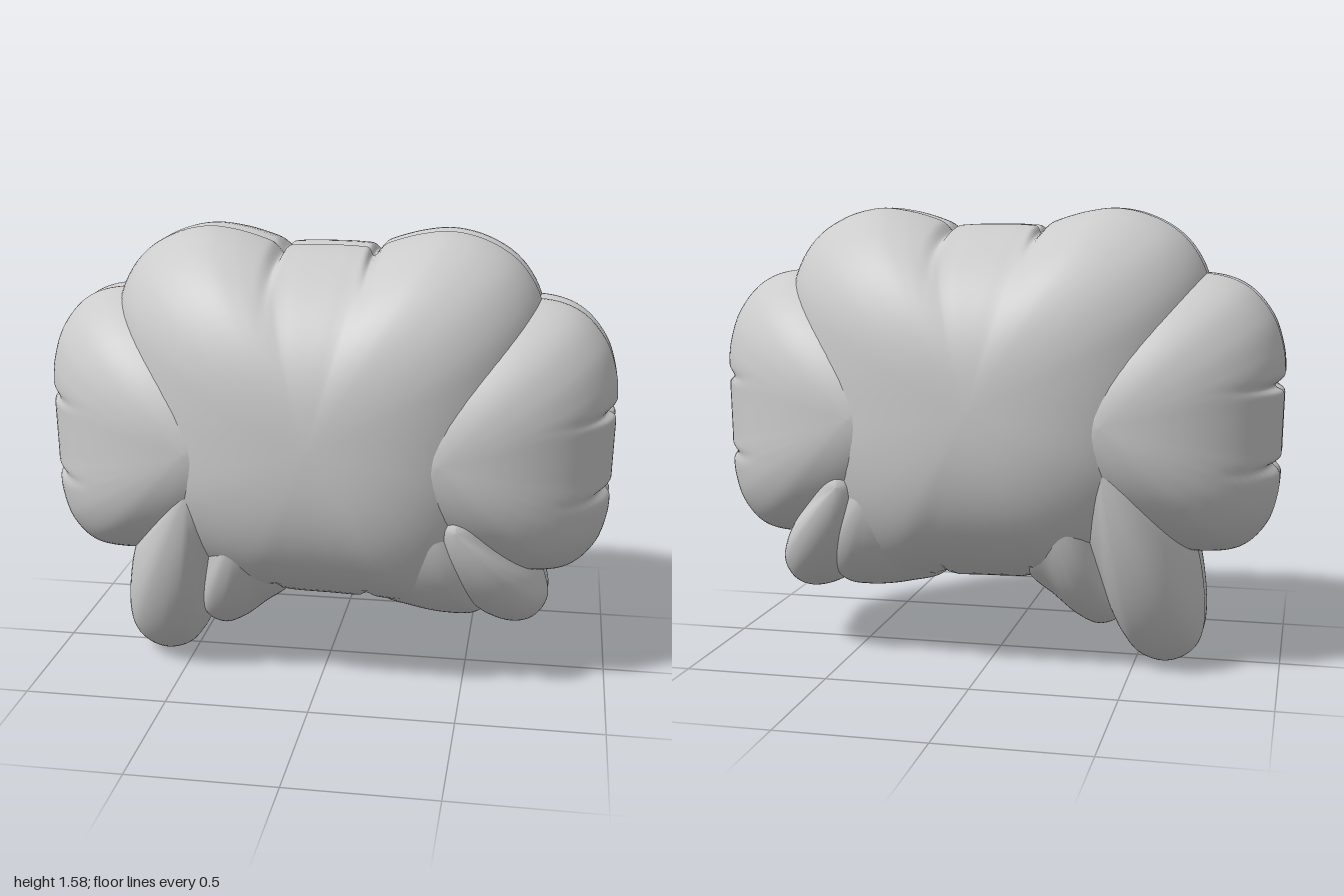
import * as THREE from 'three';

const SEGMENTS = 168, RINGS = 48;

// Inflated cushion: a closed outline (counter-clockwise) swelling to `depth`
// on both sides of z = 0, with a welded seam groove around the rim.
// `pinches` are creases across the rim at fixed x or y that fade inwards.
function inflate(name, [cx, cy], depth, power, outline, pinches = []) {
  const curve = new THREE.CatmullRomCurve3(
    outline.map(([x, y]) => new THREE.Vector3(x, y, 0)), true, 'centripetal');
  const rim = curve.getPoints(SEGMENTS).slice(0, SEGMENTS);
  const positions = [], indices = [];
  for (let i = 0; i <= RINGS; i++) {
    // rings crowd towards the seam
    const u = (2 * i) / RINGS - 1;
    const phi = Math.sign(u) * Math.abs(u) ** 1.5 * Math.PI / 2;
    const r = Math.abs(Math.cos(phi));
    const z = Math.sign(u) * depth * Math.sqrt(Math.max(0, 1 - r ** power));
    const groove = 0.018 * Math.exp(-((z / 0.025) ** 2));
    for (const p of rim) {
      const dx = p.x - cx, dy = p.y - cy;
      const at = { x: cx + dx * r, y: cy + dy * r };
      let dent = groove;
      for (const { axis, value } of pinches) {
        dent += 0.035 * r ** 7 * Math.exp(-(((at[axis] - value) / 0.018) ** 2));
      }
      const s = r * (1 - dent / Math.hypot(dx, dy));
      positions.push(cx + dx * s, cy + dy * s, z);
    }
  }
  for (let i = 0; i < RINGS; i++) {
    for (let j = 0; j < SEGMENTS; j++) {
      const k = (j + 1) % SEGMENTS;
      const a = i * SEGMENTS + j, b = i * SEGMENTS + k;
      indices.push(a, b, b + SEGMENTS, a, b + SEGMENTS, a + SEGMENTS);
    }
  }
  const geometry = new THREE.BufferGeometry();
  geometry.setAttribute('position', new THREE.Float32BufferAttribute(positions, 3));
  geometry.setIndex(indices);
  geometry.computeVertexNormals();
  const mesh = new THREE.Mesh(geometry, new THREE.MeshStandardMaterial({ color: 0xcccccc }));
  mesh.name = name;
  return mesh;
}

// Mirror an outline in x, keeping its winding
const mirror = (points) => points.map(([x, y]) => [-x, y]).reverse();

export function createModel() {
  const group = new THREE.Group();
  group.name = 'inflatedBalloon';

  // Main body: two humps on top with pinched creases between them
  const hump = [
    [0.73, 0.95], [0.745, 1.2], [0.725, 1.37], [0.65, 1.49], [0.54, 1.56], [0.42, 1.588],
    [0.32, 1.578], [0.25, 1.56], [0.2, 1.543], [0.165, 1.532], [0.13, 1.53], [0.07, 1.533],
  ];
  group.add(inflate('body', [0, 0.93], 0.53, 2.5, [
    ...hump, ...mirror(hump),
    [-0.66, 0.62], [-0.5, 0.42], [-0.3, 0.31], [-0.13, 0.29], [0.05, 0.285],
    [0.2, 0.28], [0.38, 0.28], [0.55, 0.4], [0.68, 0.65],
  ], [{ axis: 'x', value: 0.165 }, { axis: 'x', value: -0.165 }]));

  // Side lobes with two pinched creases on the outer edge
  const lobe = [
    [0.75, 0.41], [0.87, 0.435], [0.95, 0.52], [0.982, 0.62], [0.988, 0.68], [0.99, 0.72],
    [0.99, 0.77], [0.992, 0.86], [0.994, 0.94], [0.996, 1.0], [0.996, 1.05],
    [0.988, 1.12], [0.95, 1.23], [0.86, 1.33], [0.73, 1.37],
    [0.5, 1.34], [0.2, 1.15], [0.1, 0.88], [0.2, 0.6], [0.5, 0.44],
  ];
  const lobePinches = [{ axis: 'y', value: 1.0 }, { axis: 'y', value: 0.72 }];
  group.add(inflate('leftLobe', [0.42, 0.89], 0.465, 2, lobe, lobePinches));
  group.add(inflate('rightLobe', [-0.42, 0.89], 0.465, 2, mirror(lobe), lobePinches));

  // Long and short legs on the right side
  group.add(inflate('rightLongLeg', [-0.42, 0.75], 0.43, 1.8, [
    [-0.6, 0], [-0.52, 0.025], [-0.465, 0.09], [-0.41, 0.2], [-0.27, 0.48],
    [-0.2, 0.75], [-0.42, 1.0], [-0.62, 0.78], [-0.68, 0.52], [-0.725, 0.36],
    [-0.742, 0.16], [-0.72, 0.07], [-0.67, 0.02],
  ]));
  group.add(inflate('rightShortLeg', [-0.24, 0.66], 0.41, 1.9, [
    [-0.38, 0.125], [-0.31, 0.15], [-0.22, 0.22], [-0.13, 0.29], [-0.04, 0.45],
    [-0.04, 0.75], [-0.25, 0.95], [-0.44, 0.65], [-0.47, 0.3], [-0.45, 0.16],
  ]));

  // Rounded stubs on the left side
  group.add(inflate('leftWideStub', [0.36, 0.66], 0.42, 1.95, [
    [0.45, 0.225], [0.55, 0.235], [0.61, 0.3], [0.61, 0.5], [0.55, 0.75],
    [0.35, 0.9], [0.12, 0.7], [0.11, 0.45], [0.19, 0.285], [0.31, 0.245],
  ]));
  group.add(inflate('leftNarrowStub', [0.48, 0.65], 0.42, 1.85, [
    [0.68, 0.207], [0.75, 0.227], [0.79, 0.29], [0.78, 0.37], [0.72, 0.5],
    [0.64, 0.72], [0.48, 0.85], [0.33, 0.68], [0.41, 0.42], [0.56, 0.25],
  ]));

  return group;
}
